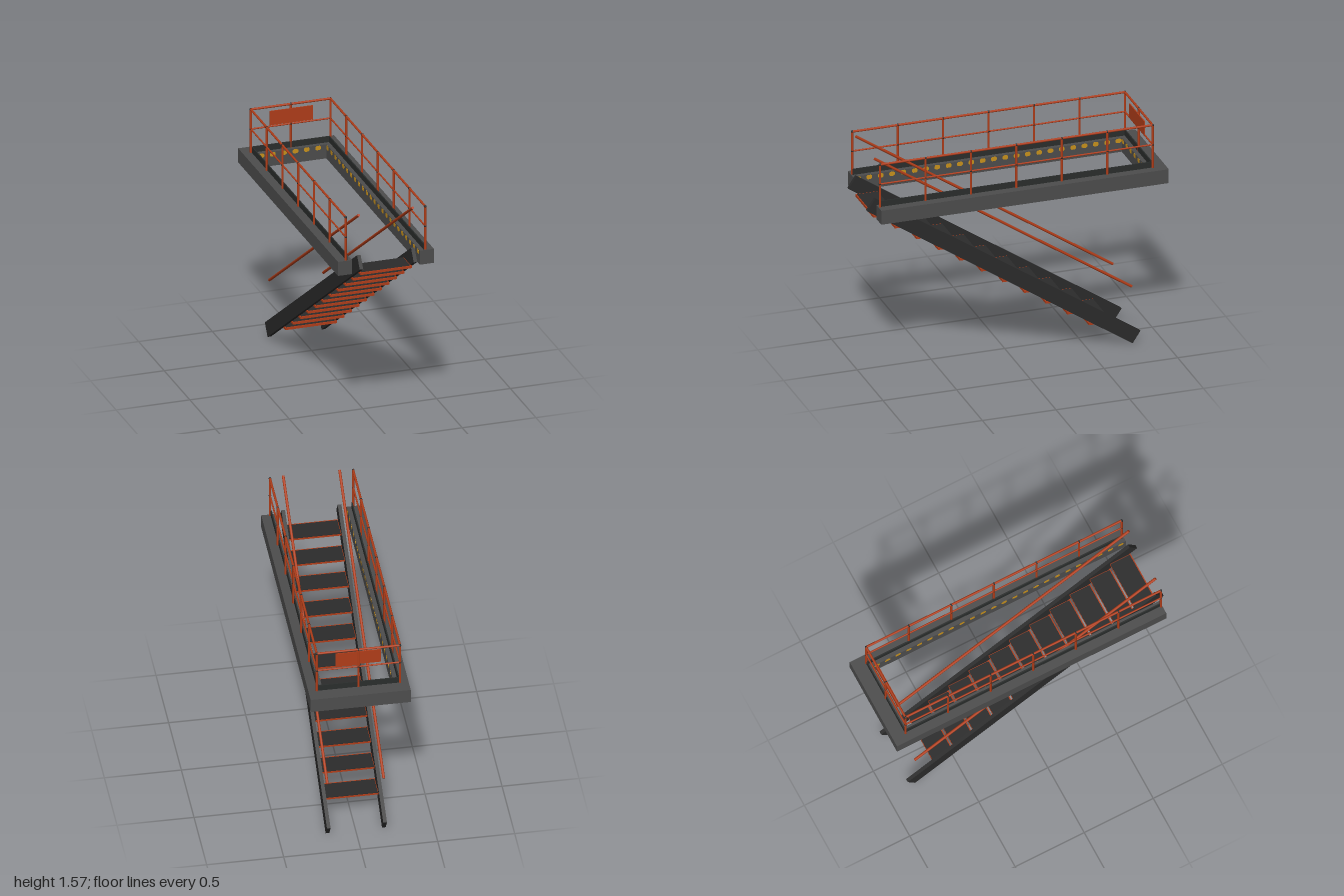
import * as THREE from 'three';

const mat = (name, color) => {
  const m = new THREE.MeshStandardMaterial({ color });
  m.name = name;
  return m;
};

export function createModel() {
  const root = new THREE.Group();
  root.name = 'stairPlatform';
  const grey = mat('concreteGrey', 0x4d4d4d);
  const dark = mat('darkSteel', 0x2b2b2b);
  const toeDark = mat('toeBoardSteel', 0x2a2d2c);
  const orange = mat('rustOrange', 0xb03d19);
  const yellow = mat('hazardYellow', 0xc8911c);

  const group = (name) => {
    const g = new THREE.Group();
    g.name = name;
    root.add(g);
    return g;
  };
  // Box from its minimum and maximum corners
  const box = (parent, name, m, a, b) => {
    const mesh = new THREE.Mesh(new THREE.BoxGeometry(b[0] - a[0], b[1] - a[1], b[2] - a[2]), m);
    mesh.position.set((a[0] + b[0]) / 2, (a[1] + b[1]) / 2, (a[2] + b[2]) / 2);
    mesh.name = name;
    parent.add(mesh);
  };
  // Round bar between two points
  const bar = (parent, name, a, b, r) => {
    const p = new THREE.Vector3(...a), q = new THREE.Vector3(...b);
    const d = q.clone().sub(p);
    const mesh = new THREE.Mesh(new THREE.CylinderGeometry(r, r, d.length(), 10), orange);
    mesh.position.copy(p).add(q).multiplyScalar(0.5);
    mesh.quaternion.setFromUnitVectors(new THREE.Vector3(0, 1, 0), d.normalize());
    mesh.name = name;
    parent.add(mesh);
  };

  // U-shaped walkway, open at the front
  const Y0 = 1.157, Y1 = 1.255, IN = 0.23, OUT = 0.325, BACK = -0.875, FRONT = 0.95;
  const deck = group('walkway');
  box(deck, 'backSlab', grey, [-OUT, Y0, -1], [OUT, Y1, BACK]);
  for (const [a, b] of [[-OUT, -IN], [IN, OUT]]) {
    box(deck, 'sideSlab', grey, [a, Y0, BACK], [b, Y1, FRONT]);
  }

  // Toe boards
  const toe = group('toeBoards');
  const TY = 1.295;
  box(toe, 'backToeBoard', toeDark, [-0.266, Y1, -0.912], [0.266, TY, -0.904]);
  for (const s of [-1, 1]) {
    box(toe, 'sideToeBoard', toeDark, [s * 0.262 - 0.004, Y1, -0.904], [s * 0.262 + 0.004, TY, 0.94]);
  }

  // Hazard marks along the inner edge
  const marks = group('hazardMarks');
  const w = 0.019, c = 0.011, h = 0.015, k = 0.007;
  const shape = new THREE.Shape([[-w, k], [-w, -k], [-c, -h], [c, -h], [w, -k], [w, k], [c, h], [-c, h]]
    .map(([x, y]) => new THREE.Vector2(x, y)));
  const markGeo = new THREE.ExtrudeGeometry(shape, { depth: 0.001, bevelEnabled: false });
  const mark = (x, z, turn) => {
    const m = new THREE.Mesh(markGeo, yellow);
    m.position.set(x, 1.237, z);
    m.rotation.y = turn;
    m.name = 'hazardMark';
    marks.add(m);
  };
  const pitch = 0.0768;
  for (let i = 0; i < 6; i++) mark(-0.21 + i * pitch, BACK, 0);
  for (let i = 0; i < 24; i++) {
    const z = -0.852 + i * pitch;
    mark(-IN, z, Math.PI / 2);
    mark(IN, z, -Math.PI / 2);
  }

  // Guard rail with dark fittings where posts meet rails
  const rail = group('guardRail');
  const RX = 0.27, RB = -0.91, RF = 0.94, TOP = 1.555, MID = 1.418, R = 0.0075;
  const jointGeo = new THREE.SphereGeometry(0.0088, 10, 8);
  const joint = (x, y, z) => {
    const m = new THREE.Mesh(jointGeo, dark);
    m.position.set(x, y, z);
    m.name = 'railFitting';
    rail.add(m);
  };
  for (const s of [-1, 1]) {
    const x = s * RX;
    for (let i = 0; i < 7; i++) {
      const z = RB + (RF - RB) * i / 6;
      bar(rail, 'post', [x, Y1 - 0.005, z], [x, TOP, z], R);
      joint(x, TOP, z);
      joint(x, MID, z);
    }
    bar(rail, 'topRail', [x, TOP, RB], [x, TOP, RF], R);
    bar(rail, 'midRail', [x, MID, RB], [x, MID, RF], 0.0055);
  }
  bar(rail, 'backTopRail', [-RX, TOP, RB], [RX, TOP, RB], R);
  bar(rail, 'backMidRail', [-RX, MID, RB], [RX, MID, RB], 0.0055);
  bar(rail, 'backPost', [0, Y1 - 0.005, RB], [0, TOP, RB], R);
  joint(0, TOP, RB);
  joint(0, MID, RB);
  box(rail, 'signPlate', orange, [-0.147, 1.432, -0.902], [0.147, 1.53, -0.895]);

  // Stair: stringers and handrails climb from the back to the open front
  const stair = group('stair');
  const slope = Math.atan2(1.2, 1.8);
  const len = Math.hypot(1.2, 1.8), depth = 0.096;
  for (const s of [-1, 1]) {
    const x = s * 0.183;
    const stringer = new THREE.Mesh(new THREE.BoxGeometry(0.024, depth, len), dark);
    stringer.position.set(x, 0.602 + Math.cos(slope) * depth / 2, 0.1 - Math.sin(slope) * depth / 2);
    stringer.rotation.x = -slope;
    stringer.name = 'stringer';
    stair.add(stringer);
    bar(stair, 'handrail', [x, 0.399, -0.797], [x, 1.56, 0.947], 0.009);
  }

  // Treads: dark plates in a thin orange frame
  const TX = 0.175, E = 0.007;
  for (let i = 0; i < 11; i++) {
    const z1 = -0.51 + i * 0.1462, z0 = z1 - 0.15;
    const y0 = 0.164 + i * 0.0978, y1 = y0 + 0.016;
    box(stair, 'treadPlate', dark, [E - TX, y0, z0 + 0.002], [TX - E, y1, z1 - E]);
    box(stair, 'treadNosing', orange, [-TX, y0, z1 - E], [TX, y1, z1]);
    box(stair, 'treadBackEdge', orange, [-TX, y0, z0], [TX, y1 - 0.004, z0 + 0.002]);
    for (const x of [-TX, TX - E]) {
      box(stair, 'treadEnd', orange, [x, y0, z0 + 0.002], [x + E, y1, z1 - E]);
    }
  }
  return root;
}
